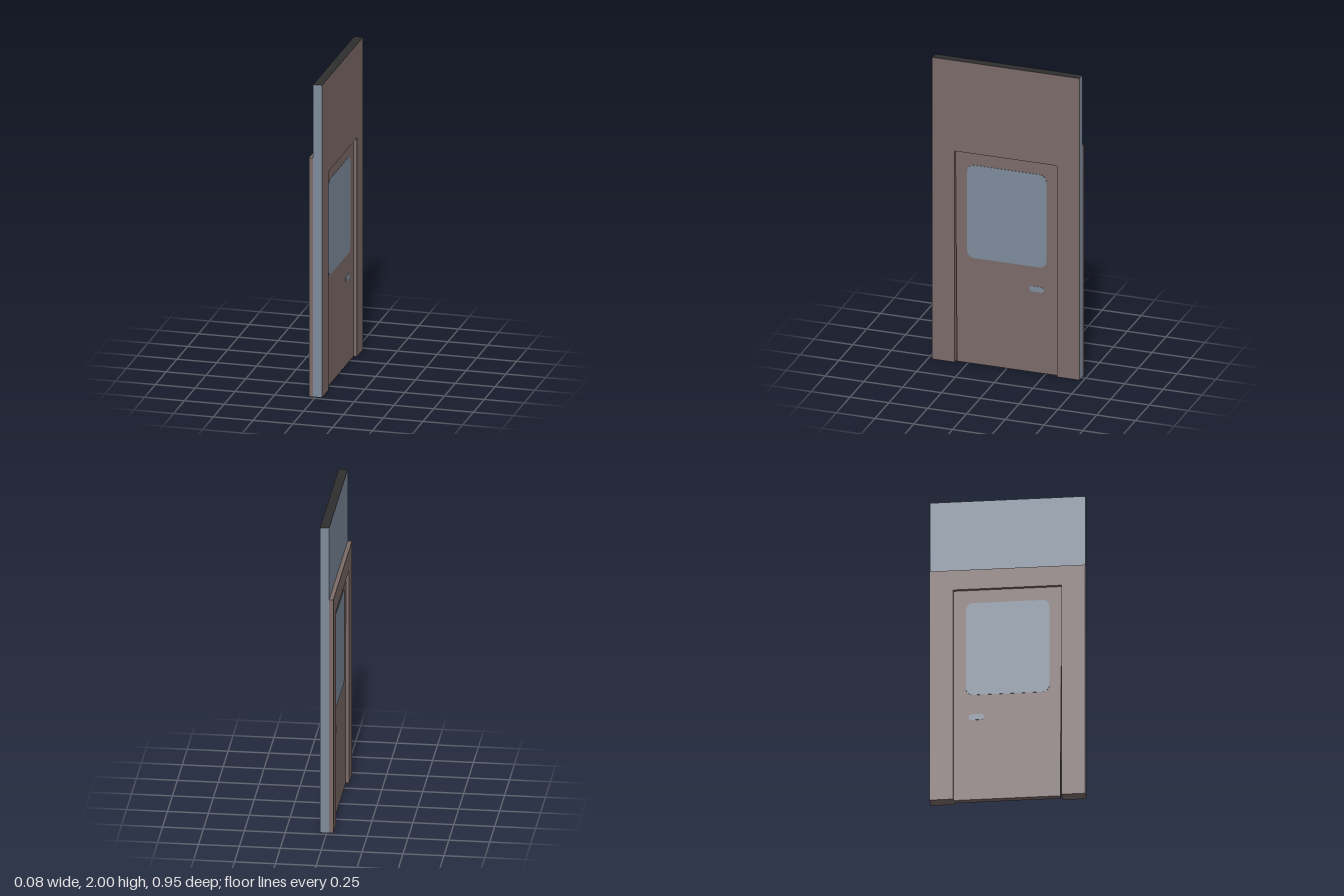
import * as THREE from 'three';

const brown = new THREE.MeshStandardMaterial({ color: 0x7b6b68 });
brown.name = 'brown panel';
const blue = new THREE.MeshStandardMaterial({ color: 0x7e8c9d });
blue.name = 'blue grey';
const dark = new THREE.MeshStandardMaterial({ color: 0x2e2e2e });
dark.name = 'dark top';

// Extrudes a side-on outline (u = -z, v = y) along x, from x0 to x1
function slab(name, shape, x0, x1, material) {
  const geometry = new THREE.ExtrudeGeometry(shape, { depth: x1 - x0, bevelEnabled: false, curveSegments: 6 });
  geometry.rotateY(Math.PI / 2).translate(x0, 0, 0);
  const mesh = new THREE.Mesh(geometry, material);
  mesh.name = name;
  return mesh;
}

function polygon(points) {
  return new THREE.Shape(points.map(([u, v]) => new THREE.Vector2(u, v)));
}

// Wall outline with a doorway open at the bottom
function doorway(height) {
  const w = 0.475, d = 0.33, h = 1.4;
  return polygon([[-w, 0], [-d, 0], [-d, h], [d, h], [d, 0], [w, 0], [w, height], [-w, height]]);
}

function roundedRect(u0, v0, u1, v1, r) {
  const s = new THREE.Shape();
  s.absarc(u1 - r, v0 + r, r, -Math.PI / 2, 0);
  s.absarc(u1 - r, v1 - r, r, 0, Math.PI / 2);
  s.absarc(u0 + r, v1 - r, r, Math.PI / 2, Math.PI);
  s.absarc(u0 + r, v0 + r, r, Math.PI, Math.PI * 1.5);
  return s;
}

// Chooses a material index for each triangle from its normal and centre
function paintFaces(geometry, rule) {
  const p = geometry.attributes.position, n = geometry.attributes.normal;
  const normal = new THREE.Vector3(), centre = new THREE.Vector3(), corner = new THREE.Vector3();
  geometry.clearGroups();
  for (let i = 0; i < p.count; i += 3) {
    normal.fromBufferAttribute(n, i);
    centre.set(0, 0, 0);
    for (let k = 0; k < 3; k++) centre.add(corner.fromBufferAttribute(p, i + k));
    geometry.addGroup(i, 3, rule(normal, centre.divideScalar(3)));
  }
}

export function createModel() {
  const model = new THREE.Group();
  model.name = 'doorWall';

  // Tall wall: brown face and jambs, blue back and ends, dark top
  const wall = slab('wall', doorway(2), -0.015, 0.041, [brown, blue, dark]);
  paintFaces(wall.geometry, (n, c) => {
    if (n.y > 0.5) return 2;
    if (n.x < -0.5 || (Math.abs(n.z) > 0.5 && Math.abs(c.z) > 0.4)) return 1;
    return 0;
  });
  model.add(wall);

  // Lower lining on the other side
  model.add(slab('lining', doorway(1.53), -0.041, -0.015, brown));

  // Recessed door, its hinge edge tapering to leave a narrow gap
  const front = 0.02, back = -0.02;
  const outline = polygon([[-0.321, 0], [0.33, 0], [0.33, 1.4], [-0.33, 1.4], [-0.33, 1.3]]);
  model.add(slab('door', outline, back, front, brown));

  // Window and handle plates on both faces
  const plate = 0.002;
  for (const [side, x] of [['Outer', front], ['Inner', back - plate]]) {
    model.add(slab('window' + side, roundedRect(-0.255, 0.7, 0.255, 1.315, 0.045), x, x + plate, blue));
    model.add(slab('handle' + side, roundedRect(0.145, 0.533, 0.237, 0.57, 0.018), x, x + plate, blue));
  }
  return model;
}
